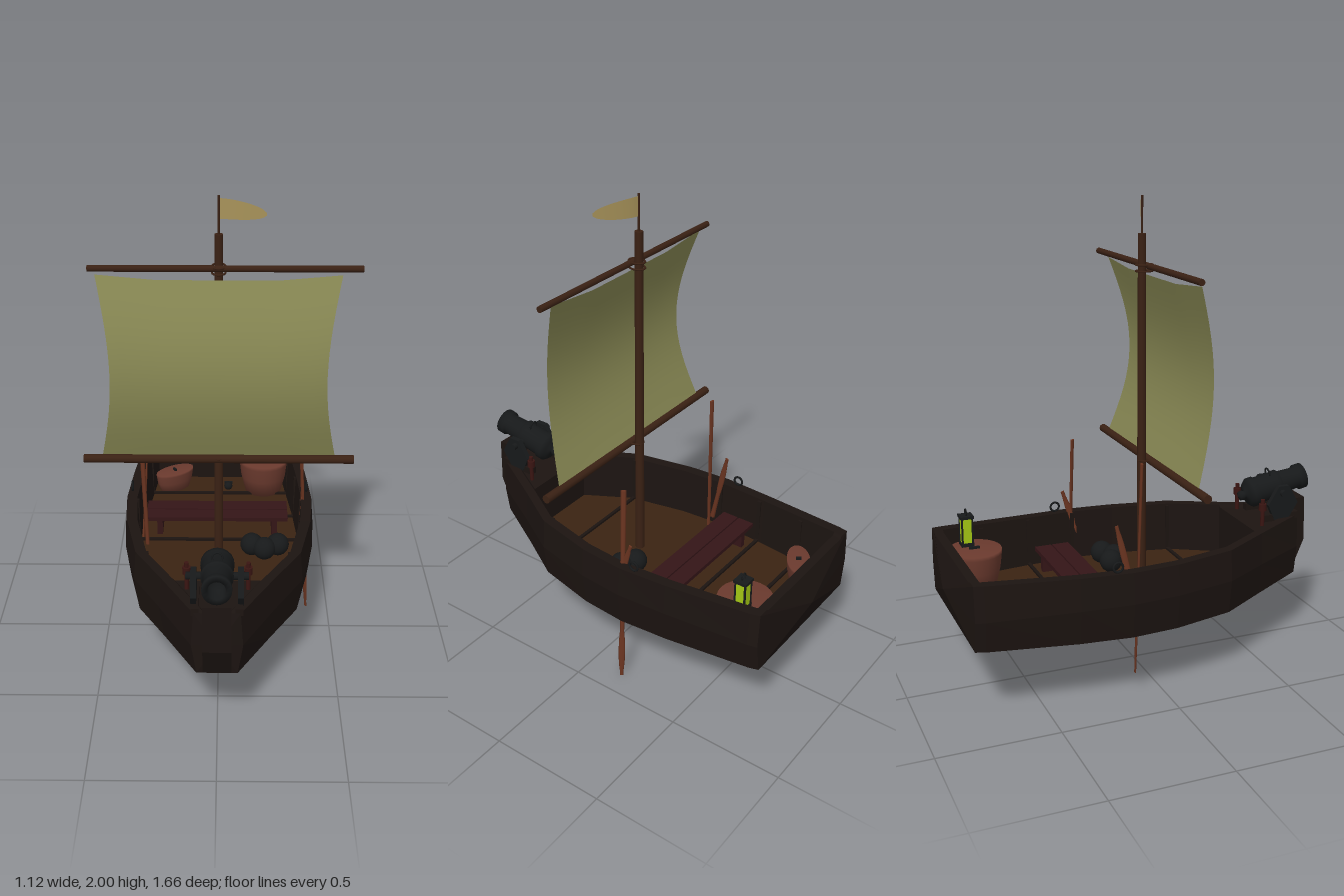
import * as THREE from 'three';

const mat = (color, extra = {}) => new THREE.MeshStandardMaterial({ color, ...extra });
const M = {
  hull: mat(0x1c1411, { flatShading: true }),
  floor: mat(0x3a2312, { side: THREE.DoubleSide }),
  spar: mat(0x3a2114),
  bench: mat(0x341517),
  oar: mat(0x6a3420),
  tub: mat(0x6b3a2e),
  iron: mat(0x17191a),
  post: mat(0x3a1512),
  sail: mat(0x8a8a55, { side: THREE.DoubleSide }),
  flag: mat(0xa8935a, { side: THREE.DoubleSide }),
  glow: mat(0xa5c814),
};
const V = (x, y, z) => new THREE.Vector3(x, y, z);

// z and half width of the hull, stern to bow
const stations = [[-0.79, 0.355], [-0.75, 0.365], [-0.38, 0.405], [-0.16, 0.42],
  [0.04, 0.405], [0.3, 0.35], [0.5, 0.235], [0.75, 0.1]];
const FLOOR = 0.36, RIM = 0.045;
const topY = z => 0.58 + 0.03 * z * z;
const botY = z => 0.3 + 0.035 * z * z;
function halfWidth(z) {
  for (let i = 1; i < stations.length; i++) {
    const [z0, w0] = stations[i - 1], [z1, w1] = stations[i];
    if (z <= z1) return w0 + (w1 - w0) * (z - z0) / (z1 - z0);
  }
  return 0.1;
}

// Open hull: one closed cross-section swept along the stations, solid at both ends
function hullGeometry() {
  const ring = (z, w, solid) => {
    const t = topY(z), wi = w - RIM;
    const half = [[w - 0.02, botY(z)], [w, 0.45], [w - 0.01, t], [wi - 0.01, t], [wi - 0.02, solid ? t - 0.01 : FLOOR]];
    return [...half, ...half.slice().reverse().map(([x, y]) => [-x, y])].map(([x, y]) => [x, y, z]);
  };
  const rings = [];
  stations.forEach(([z, w], i) => {
    if (i === 1) rings.push(ring(z, w, true));
    rings.push(ring(z, w, i === 0 || i === 7));
    if (i === 6) rings.push(ring(z, w, true));
  });
  const n = 10, pos = rings.flat(2), idx = [], last = (rings.length - 1) * n;
  for (let i = 0; i < rings.length - 1; i++)
    for (let j = 0; j < n; j++) {
      const a = i * n + j, b = i * n + (j + 1) % n;
      idx.push(a, b, b + n, a, b + n, a + n);
    }
  const c = rings.length * n;
  pos.push(0, 0.46, -0.83, 0, 0.46, 0.77);
  for (let j = 0; j < n; j++) {
    const k = (j + 1) % n;
    idx.push(c, k, j, c + 1, last + j, last + k);
  }
  const g = new THREE.BufferGeometry();
  g.setAttribute('position', new THREE.Float32BufferAttribute(pos, 3));
  g.setIndex(idx);
  g.computeVertexNormals();
  return g;
}

// Cloth patch from a rule f(u, v) -> point
function cloth(f, nu, nv) {
  const g = new THREE.PlaneGeometry(1, 1, nu, nv), p = g.attributes.position;
  for (let i = 0; i < p.count; i++) p.setXYZ(i, ...f(p.getX(i) + 0.5, p.getY(i) + 0.5));
  g.computeVertexNormals();
  return g;
}

export function createModel() {
  const root = new THREE.Group();
  const add = (name, geo, m, x = 0, y = 0, z = 0, parent = root) => {
    const mesh = new THREE.Mesh(geo, m);
    mesh.name = name;
    mesh.position.set(x, y, z);
    parent.add(mesh);
    return mesh;
  };
  const box = (name, w, h, d, m, x, y, z, parent) => add(name, new THREE.BoxGeometry(w, h, d), m, x, y, z, parent);
  // Round rod from a to b
  const rod = (name, a, b, r0, r1, m, parent, sides = 10) => {
    const mesh = add(name, new THREE.CylinderGeometry(r1, r0, a.distanceTo(b), sides), m, 0, 0, 0, parent);
    mesh.position.copy(a).lerp(b, 0.5);
    mesh.quaternion.setFromUnitVectors(V(0, 1, 0), b.clone().sub(a).normalize());
    return mesh;
  };

  // Hull, stem post and floor
  add('hull', hullGeometry(), M.hull);
  const stem = new THREE.Shape([[0.72, 0.34], [0.75, 0.32], [0.81, 0.46], [0.805, 0.66], [0.74, 0.66], [0.735, 0.5]]
    .map(([z, y]) => new THREE.Vector2(-z, y)));
  const stemGeo = new THREE.ExtrudeGeometry(stem, { depth: 0.11, bevelEnabled: false });
  stemGeo.translate(0, 0, -0.055).rotateY(Math.PI / 2);
  add('stemPost', stemGeo, M.hull);

  const edge = stations.slice(1, 7).map(([z, w]) => new THREE.Vector2(w - RIM - 0.02, -z));
  const outline = [...edge, ...edge.slice().reverse().map(p => new THREE.Vector2(-p.x, p.y))];
  add('floor', new THREE.ShapeGeometry(new THREE.Shape(outline)).rotateX(-Math.PI / 2), M.floor, 0, FLOOR + 0.004, 0);

  // Ribs over the floor and up both sides
  for (const z of [-0.58, -0.36, -0.15, 0.29]) {
    const w = halfWidth(z) - RIM - 0.012;
    box('floorRib', w * 2, 0.012, 0.014, M.hull, 0, FLOOR + 0.008, z);
    for (const s of [-1, 1]) box('sideRib', 0.015, 0.21, 0.016, M.hull, s * w, 0.47, z);
  }

  // Bench of two planks
  for (const z of [-0.305, -0.225]) box('benchPlank', 0.64, 0.018, 0.074, M.bench, -0.01, 0.45, z);
  for (const x of [-0.27, 0.25]) box('benchLeg', 0.025, 0.09, 0.13, M.bench, x, 0.4, -0.265);

  // Mast, pole, yards and lashings
  rod('mast', V(0, FLOOR, 0.04), V(0, 1.85, 0.04), 0.02, 0.017, M.spar);
  rod('flagPole', V(0, 1.85, 0.04), V(0, 2, 0.04), 0.005, 0.005, M.spar, root, 6);
  rod('upperYard', V(-0.51, 1.72, 0.065), V(0.56, 1.72, 0.065), 0.013, 0.013, M.spar);
  rod('lowerYard', V(-0.56, 0.9, 0.08), V(0.56, 0.9, 0.08), 0.018, 0.018, M.spar);
  for (const [y, z] of [[1.7, 0.05], [1.725, 0.05], [0.905, 0.06]])
    add('lashing', new THREE.TorusGeometry(0.027, 0.004, 6, 16).rotateX(Math.PI / 2), M.spar, 0, y, z).scale.z = 1.3;

  // Square sail bellying forward
  add('sail', cloth((u, v) => {
    const belly = Math.sin(Math.PI * v), s = u * 2 - 1;
    const sag = 0.022 * Math.min(1, (1 - Math.abs(s)) * 2) * v;
    return [s * (0.48 - 0.05 * belly), 0.92 + 0.78 * v - sag, 0.08 + 0.08 * belly];
  }, 16, 16), M.sail);

  // Pennant
  add('flag', cloth((u, v) => {
    const h = 0.04 * Math.sqrt(1 - u * u * 0.98);
    return [0.18 * u, 1.95 + h * (v * 2 - 1), 0.04 + 0.08 * Math.pow(u, 1.3)];
  }, 12, 2), M.flag);

  // Flat oars: shaft with a leaf blade at the lower end
  const oar = (a, b) => {
    const g = new THREE.Group(), len = a.distanceTo(b);
    g.name = 'oar';
    add('oarShaft', new THREE.CylinderGeometry(0.008, 0.012, len, 6), M.oar, 0, 0, 0, g).scale.x = 0.5;
    add('oarBlade', new THREE.SphereGeometry(1, 8, 8), M.oar, 0, 0.5 * len - 0.13, 0, g).scale.set(0.005, 0.13, 0.014);
    g.position.copy(a).lerp(b, 0.5);
    g.quaternion.setFromUnitVectors(V(0, 1, 0), b.clone().sub(a).normalize());
    root.add(g);
  };
  oar(V(-0.338, 1.0, -0.1), V(-0.315, 0.1, -0.118));
  oar(V(0.353, 0.92, -0.145), V(0.402, 0.005, -0.16));
  oar(V(-0.34, 0.4, -0.12), V(-0.32, 0.75, -0.2));
  oar(V(0.36, 0.4, -0.1), V(0.37, 0.68, -0.19));
  for (const s of [-1, 1])
    add('oarRing', new THREE.TorusGeometry(0.02, 0.005, 6, 14).rotateY(Math.PI / 2), M.iron, s * 0.39, 0.605, -0.22);

  // Tubs at the stern
  const tub = (x, z, r, h) => {
    const prof = [[0, 0], [r * 0.75, 0], [r * 0.93, h * 0.5], [r, h * 0.9], [r, h], [0, h]].map(p => new THREE.Vector2(...p));
    const t = add('tub', new THREE.LatheGeometry(prof, 24), M.tub, x, FLOOR, z);
    box('tubHandle', 0.01, 0.012, 0.045, M.iron, 0, h + 0.004, 0, t);
    return t;
  };
  tub(0.21, -0.64, 0.115, 0.17);
  const oval = tub(-0.22, -0.64, 0.1, 0.1);
  oval.scale.z = 0.5;
  oval.rotation.y = 0.6;
  add('weight', new THREE.SphereGeometry(0.02, 10, 8), M.iron, 0.04, FLOOR + 0.02, -0.63);
  box('weightHandle', 0.04, 0.01, 0.01, M.iron, 0.04, FLOOR + 0.01, -0.68);

  // Lantern
  const lamp = new THREE.Group();
  lamp.name = 'lantern';
  lamp.position.set(0.265, 0.53, -0.66);
  root.add(lamp);
  box('lanternBase', 0.054, 0.015, 0.054, M.iron, 0, 0.008, 0, lamp);
  box('lanternGlass', 0.044, 0.11, 0.044, M.glow, 0, 0.07, 0, lamp);
  box('lanternCap', 0.058, 0.012, 0.058, M.iron, 0, 0.13, 0, lamp);
  for (const x of [-1, 1]) for (const z of [-1, 1]) box('lanternBar', 0.007, 0.12, 0.007, M.iron, x * 0.022, 0.07, z * 0.022, lamp);
  add('lanternRing', new THREE.TorusGeometry(0.014, 0.003, 6, 14), M.iron, 0, 0.148, 0, lamp);

  // Shot pile
  for (const [x, z] of [[0.145, -0.045], [0.26, -0.045], [0.2, -0.01]])
    add('shot', new THREE.SphereGeometry(0.05, 16, 12), M.iron, x, FLOOR + 0.05, z);

  // Bow gun: lathed barrel pointing forward and slightly up
  const gun = new THREE.Group();
  gun.name = 'gun';
  gun.position.set(0, 0.683, 0.5);
  gun.rotation.x = -0.19;
  root.add(gun);
  const barrel = [[0, 0], [0.02, 0.008], [0.022, 0.022], [0.014, 0.035], [0.05, 0.042], [0.066, 0.06], [0.066, 0.085],
    [0.06, 0.09], [0.058, 0.18], [0.063, 0.182], [0.063, 0.2], [0.053, 0.203], [0.047, 0.29], [0.057, 0.295], [0.057, 0.325],
    [0.035, 0.327], [0.033, 0.24], [0, 0.24]].map(p => new THREE.Vector2(...p));
  add('gunBarrel', new THREE.LatheGeometry(barrel, 20).rotateX(Math.PI / 2), M.iron, 0, 0, 0, gun);
  add('liftRing', new THREE.TorusGeometry(0.02, 0.004, 6, 14), M.iron, 0, 0.064, 0.16, gun);
  rod('trunnion', V(-0.12, -0.005, 0.17), V(0.12, -0.005, 0.17), 0.015, 0.015, M.iron, gun);

  // Gun cheeks, stays and small posts
  const cheek = new THREE.Shape([[0.63, 0.59], [0.7, 0.59], [0.745, 0.66], [0.7, 0.74], [0.65, 0.74], [0.6, 0.66]]
    .map(([z, y]) => new THREE.Vector2(-z, y)));
  for (const s of [-1, 1]) {
    const g = new THREE.ExtrudeGeometry(cheek, { depth: 0.022, bevelEnabled: false });
    add('gunCheek', g.translate(0, 0, -0.011).rotateY(Math.PI / 2), M.iron, s * 0.09, 0, 0);
    box('bowRail', 0.03, 0.03, 0.17, M.hull, s * 0.085, 0.6, 0.665);
    rod('bowPost', V(s * 0.12, 0.58, 0.56), V(s * 0.12, 0.7, 0.56), 0.009, 0.009, M.post);
    add('bowPostCap', new THREE.CylinderGeometry(0.017, 0.017, 0.03, 10), M.post, s * 0.12, 0.665, 0.56);
  }
  return root;
}
